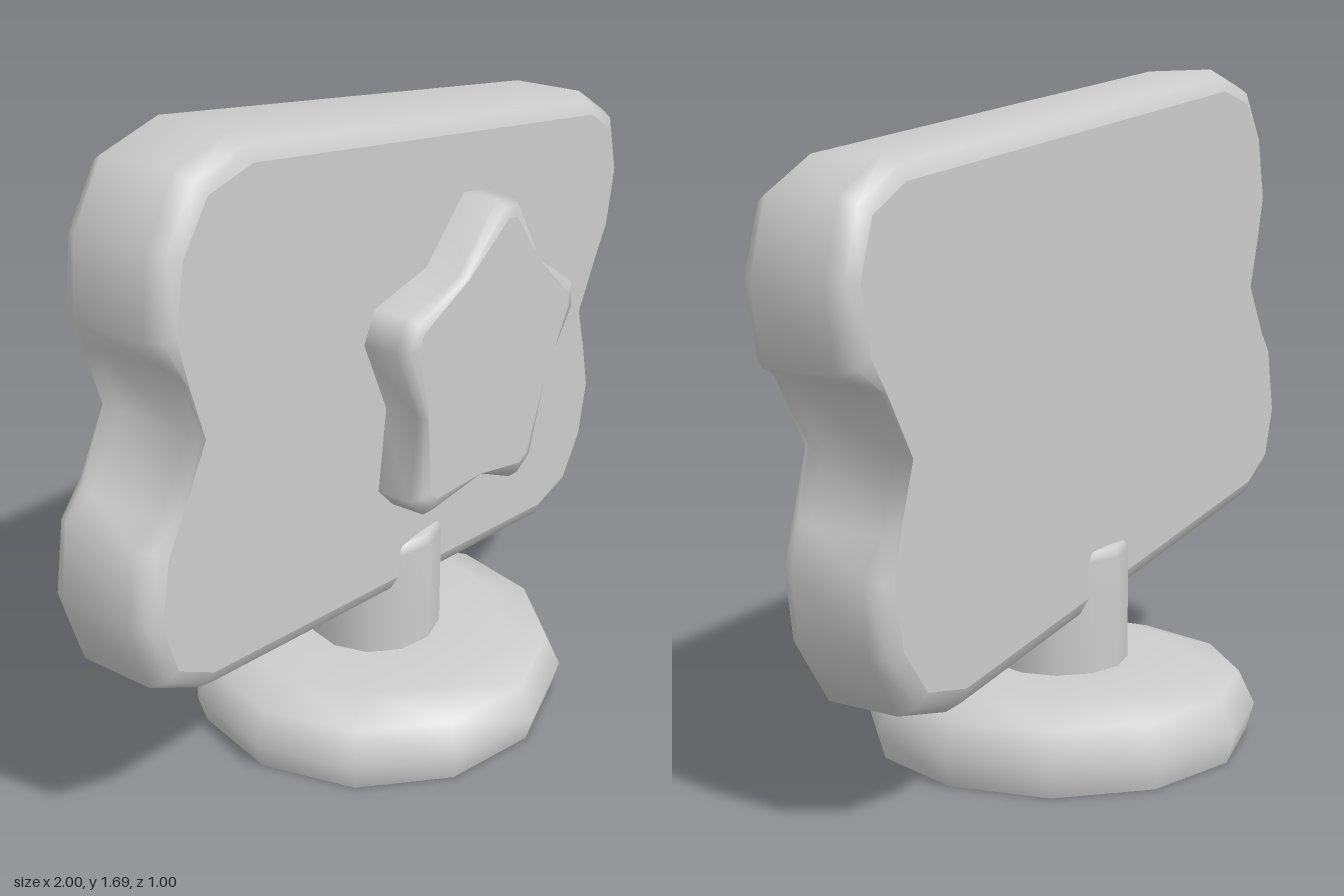
import * as THREE from 'three';
import { mergeGeometries } from 'three/addons/utils/BufferGeometryUtils.js';

const buildGeometry = (positions, index) => {
  const g = new THREE.BufferGeometry();
  g.setAttribute('position', new THREE.Float32BufferAttribute(positions, 3));
  g.setIndex(index);
  g.computeVertexNormals();
  return g;
};

// Plate with smooth bevelled sides and flat caps.
// Outlines run counter-clockwise; layers are [z, blend from outer to inner].
function bevelledPlate(outer, inner, layers) {
  const n = outer.length;
  const ring = ([z, t]) => outer.map(([x, y], i) =>
    [x + (inner[i][0] - x) * t, y + (inner[i][1] - y) * t, z]);
  const rings = layers.map(ring);
  const index = [];
  for (let r = 0; r < rings.length - 1; r++) {
    for (let i = 0; i < n; i++) {
      const j = (i + 1) % n;
      const a = r * n + i, b = r * n + j;
      index.push(a, b, b + n, a, b + n, a + n);
    }
  }
  const cap = (pts, front) => {
    const faces = THREE.ShapeUtils.triangulateShape(
      pts.map(([x, y]) => new THREE.Vector2(x, y)), []);
    return buildGeometry(pts.flat(),
      faces.flatMap(([a, b, c]) => (front ? [a, b, c] : [a, c, b])));
  };
  return mergeGeometries([
    buildGeometry(rings.flat(2), index),
    cap(rings[0], false),
    cap(rings[rings.length - 1], true),
  ]);
}

export function createModel() {
  const group = new THREE.Group();
  const grey = new THREE.MeshStandardMaterial({ color: 0xcccccc, side: THREE.DoubleSide });
  grey.name = 'light grey';
  const add = (name, geometry) => {
    const mesh = new THREE.Mesh(geometry, grey);
    mesh.name = name;
    group.add(mesh);
  };

  // Tilted ticket board: half an outline, repeated by a half turn
  const halfTurn = (half) =>
    [...half, ...half.map(([x, y]) => [-x, 1.93 - y])].reverse();
  const boardOuter = halfTurn([
    [-0.9, 1.33], [-0.88, 1.51], [-0.79, 1.65], [-0.62, 1.69], [0.81, 1.46],
    [0.95, 1.38], [1.0, 1.21], [0.97, 1.03], [0.89, 1.0], [0.79, 0.84], [0.84, 0.68],
  ]);
  const boardInner = halfTurn([
    [-0.86, 1.34], [-0.83, 1.49], [-0.75, 1.6], [-0.61, 1.63], [0.8, 1.405],
    [0.91, 1.34], [0.95, 1.21], [0.92, 1.06], [0.87, 0.98], [0.79, 0.84], [0.83, 0.71],
  ]);
  add('ticketBoard', bevelledPlate(boardOuter, boardInner, [
    [-0.145, 1], [-0.13, 0.4], [-0.095, 0], [0.095, 0], [0.13, 0.4], [0.145, 1],
  ]));

  // Raised star with blunt tips
  const star = (tip, spread, valley) => {
    const pts = [];
    const polar = (deg, r) => {
      const a = THREE.MathUtils.degToRad(deg);
      pts.push([0.14 + r * Math.cos(a), 0.95 + r * Math.sin(a)]);
    };
    for (let i = 0; i < 5; i++) {
      const a = 80 + i * 72;
      polar(a - spread, tip);
      polar(a + spread, tip);
      polar(a + 36, valley);
    }
    return pts;
  };
  add('star', bevelledPlate(star(0.41, 6, 0.295), star(0.365, 3, 0.29), [
    [0.13, 0], [0.235, 0], [0.258, 0.4], [0.265, 1],
  ]));

  // Hollow base and the open-ended stem
  const lathe = (profile) => new THREE.LatheGeometry(
    profile.map(([r, y]) => new THREE.Vector2(r, y)), 12);
  add('base', lathe([[0.48, 0], [0.5, 0.07], [0.46, 0.155], [0.35, 0.19], [0.17, 0.192]]));
  add('stem', lathe([[0.175, 0.1], [0.175, 0.47], [0.165, 0.495], [0.14, 0.5], [0, 0.5]]));

  return group;
}
